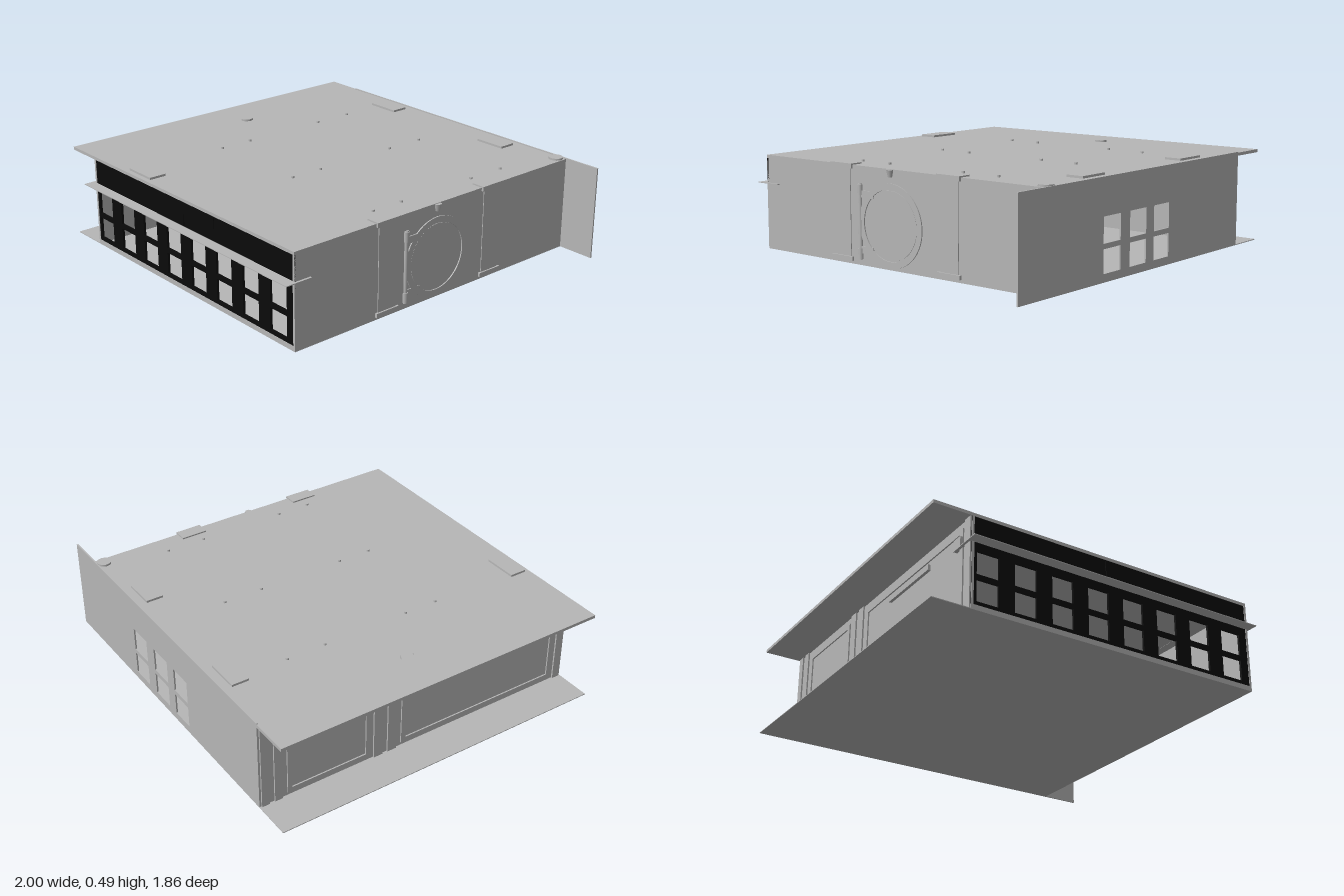
import * as THREE from 'three';

export function createModel() {
  const grey = new THREE.MeshStandardMaterial({ color: 0xb6b6b6, side: THREE.DoubleSide });
  grey.name = 'light grey';
  const black = new THREE.MeshStandardMaterial({ color: 0x0a0a0a, side: THREE.DoubleSide });
  black.name = 'black';
  const model = new THREE.Group();

  const add = (name, geometry, material = grey, parent = model) => {
    const mesh = new THREE.Mesh(geometry, material);
    mesh.name = name;
    parent.add(mesh);
    return mesh;
  };
  // box given by its lower and upper limits on each axis
  const box = (name, x0, x1, y0, y1, z0, z1, material = grey) => {
    const mesh = add(name, new THREE.BoxGeometry(x1 - x0, y1 - y0, z1 - z0), material);
    mesh.position.set((x0 + x1) / 2, (y0 + y1) / 2, (z0 + z1) / 2);
    return mesh;
  };
  // upright wall in the xy plane with rectangular openings [x0, x1, y0, y1]
  const wall = (name, x0, x1, y0, y1, holes, depth, material) => {
    const rect = (T, a, b, c, d) => {
      const p = new T();
      p.moveTo(a, c).lineTo(b, c).lineTo(b, d).lineTo(a, d).closePath();
      return p;
    };
    const shape = rect(THREE.Shape, x0, x1, y0, y1);
    for (const h of holes) shape.holes.push(rect(THREE.Path, ...h));
    return add(name, new THREE.ExtrudeGeometry(shape, { depth, bevelEnabled: false }), material);
  };

  // floor and roof sheets, both reaching past the right wall
  box('floor', -1, 0.8, 0, 0.004, -0.93, 0.87);
  box('roof', -1, 0.8, 0.467, 0.483, -0.93, 0.87);

  // back wall reaching past the left wall, with three pairs of openings
  const backHoles = [];
  for (const [a, b] of [[-0.155, -0.025], [0.04, 0.175], [0.25, 0.385]])
    for (const [c, d] of [[0.04, 0.155], [0.18, 0.305]]) backHoles.push([a, b, c, d]);
  wall('backWall', -0.8, 1, 0, 0.487, backHoles, 0.008, grey).position.z = -0.93;

  // dark front wall with eight columns of windows
  const frontHoles = [];
  for (let i = 0; i < 8; i++) {
    const c = -0.715 + i * 0.2;
    frontHoles.push([c - 0.058, c + 0.058, 0.045, 0.155], [c - 0.058, c + 0.058, 0.18, 0.295]);
  }
  wall('frontWall', -0.8, 0.8, 0.026, 0.467, frontHoles, 0.012, black).position.z = 0.856;
  box('frontSill', -0.8, 0.8, 0.004, 0.026, 0.856, 0.87);
  box('frontSign', -0.07, 0.22, 0.405, 0.46, 0.868, 0.872, black);
  box('signBracket', -0.065, -0.02, 0.345, 0.405, 0.868, 0.872, black);

  // thin ledge over the windows, folding round both front corners
  box('frontLedge', -0.81, 0.81, 0.337, 0.341, 0.868, 0.925);
  box('leftLedgeReturn', 0.8, 0.812, 0.337, 0.341, 0.78, 0.925);
  box('rightLedgeReturn', -0.82, -0.8, 0.337, 0.341, 0.78, 0.925);
  box('rightLedgeBlock', -0.82, -0.8, 0.335, 0.39, 0.74, 0.8);

  // left wall with the round door
  box('leftWall', 0.788, 0.8, 0.004, 0.483, -0.93, 0.87);
  const door = new THREE.Group();
  door.name = 'roundDoor';
  door.position.set(0.8, 0.213, 0);
  door.rotation.y = Math.PI / 2;
  model.add(door);
  const ringShape = new THREE.Shape().absarc(0, 0, 0.203, 0, Math.PI * 2);
  ringShape.holes.push(new THREE.Path().absarc(0, 0, 0.172, 0, Math.PI * 2, true));
  add('doorRing', new THREE.ExtrudeGeometry(ringShape, { depth: 0.006, bevelEnabled: false, curveSegments: 32 }), grey, door);
  const panel = add('doorPanel', new THREE.CylinderGeometry(0.168, 0.168, 0.004, 48), grey, door);
  panel.rotation.x = Math.PI / 2;
  panel.position.z = 0.001;
  // hinge rod, its collars and arms
  const rod = add('hingeRod', new THREE.CylinderGeometry(0.011, 0.011, 0.37, 16), grey, door);
  rod.position.set(-0.2, 0, 0);
  for (const s of [1, -1]) {
    const collar = add('hingeCollar', new THREE.CylinderGeometry(0.015, 0.015, 0.05, 16), grey, door);
    collar.position.set(-0.2, s * 0.155, 0);
    const arm = add('hingeArm', new THREE.BoxGeometry(0.09, 0.035, 0.006), grey, door);
    arm.position.set(-0.155, s * 0.135, 0.003);
  }
  const latch = add('doorLatch', new THREE.CylinderGeometry(0.02, 0.012, 0.035, 12), grey, door);
  latch.position.set(0, 0.25, 0);

  // vertical straps with clips at top and bottom
  for (const [z0, z1] of [[0.25, 0.39], [-0.44, -0.3]]) {
    box('wallStrap', 0.8, 0.804, 0.035, 0.465, z0 + 0.015, z1 - 0.015);
    box('topClip', 0.74, 0.812, 0.466, 0.49, z0, z1);
    box('bottomClip', 0.79, 0.812, 0.015, 0.036, z0, z1);
  }

  // right wall with posts and framed panels
  box('rightWall', -0.8, -0.788, 0.004, 0.467, -0.93, 0.87);
  for (const [z0, z1] of [[-0.92, -0.88], [-0.85, -0.81], [-0.3, -0.25], [-0.22, -0.17], [0.82, 0.865]])
    box('wallPost', -0.808, -0.8, 0.004, 0.467, z0, z1);
  for (const [z0, z1] of [[-0.78, -0.32], [-0.14, 0.8]]) {
    for (const [a, b] of [[0.02, 0.045], [0.41, 0.435]]) box('panelRail', -0.807, -0.8, a, b, z0, z1);
    for (const z of [z0, z1 - 0.025]) box('panelStile', -0.807, -0.8, 0.045, 0.41, z, z + 0.025);
  }
  box('panelHandle', -0.815, -0.8, 0.36, 0.39, 0.12, 0.5);

  // round fitting and shelf inside the back wall
  const dial = add('innerDial', new THREE.TorusGeometry(0.045, 0.008, 10, 32));
  dial.position.set(-0.32, 0.12, -0.915);
  box('innerShelf', -0.375, -0.26, 0.195, 0.21, -0.922, -0.89);

  // raised pads on the roof
  for (const [x, z, w] of [[-0.42, -0.835, 0.18], [0.395, -0.835, 0.17], [-0.42, 0.8, 0.18]])
    box('roofPad', x - w / 2, x + w / 2, 0.483, 0.494, z - 0.045, z + 0.045);
  const disc = (name, x, z, r, start = 0, length = Math.PI * 2) => {
    add(name, new THREE.CylinderGeometry(r, r, 0.01, 16, 1, false, start, length)).position.set(x, 0.488, z);
  };
  disc('edgePad', -0.77, -0.09, 0.035, 0, Math.PI);
  disc('cornerPad', 0.76, -0.89, 0.036);

  // small roof pins
  for (const x of [-0.47, 0.1, 0.68])
    for (const z of [0.3, 0.12, -0.35, -0.56]) disc('roofPin', x, z, 0.008);

  return model;
}
